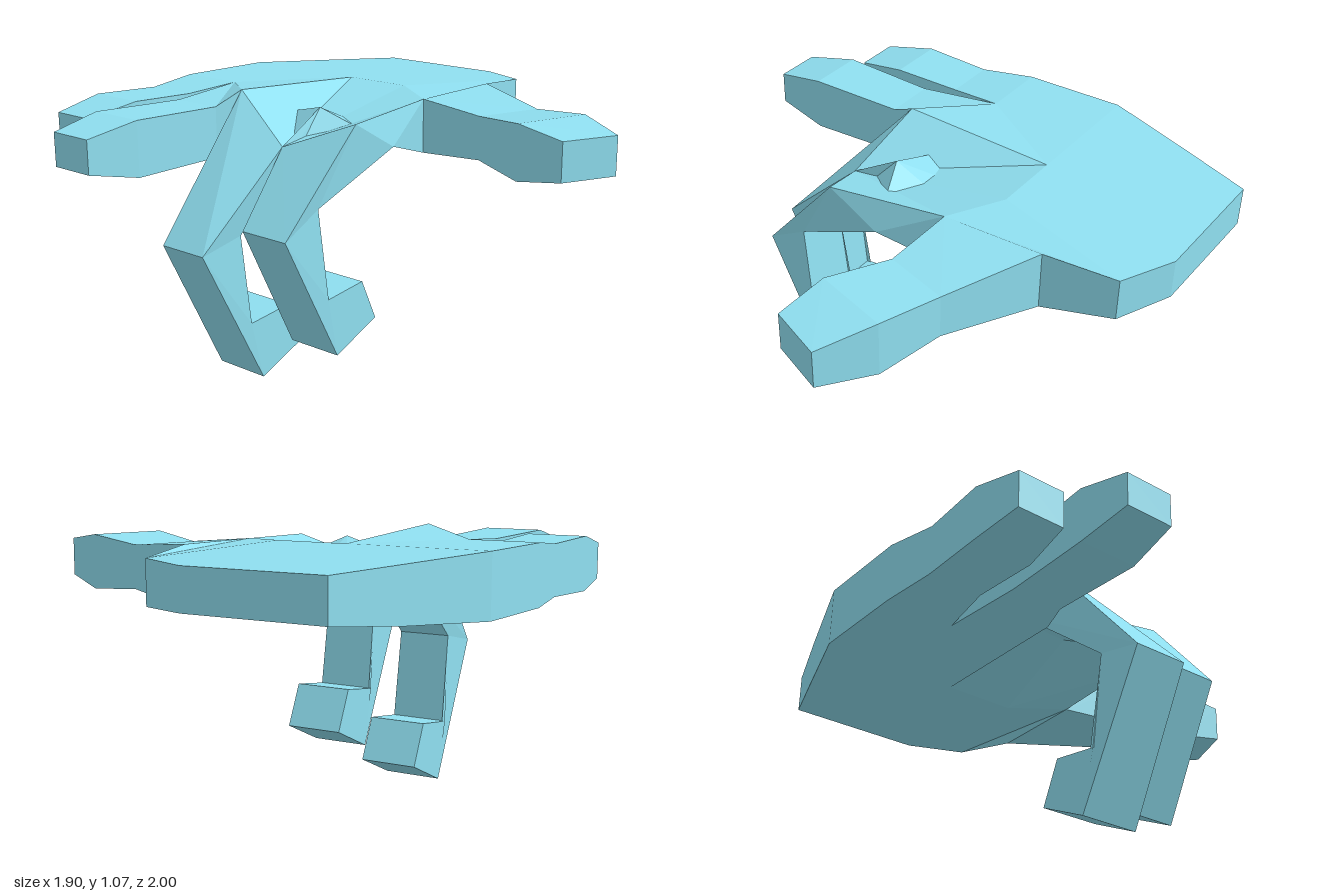
import * as THREE from 'three';

const material = new THREE.MeshStandardMaterial({
  color: 0x8fdff0, flatShading: true, side: THREE.DoubleSide,
});

// Mesh from a list of triangles, each three [x, y, z] corners
function facets(name, tris) {
  const g = new THREE.BufferGeometry();
  g.setAttribute('position', new THREE.Float32BufferAttribute(tris.flat(2), 3));
  g.computeVertexNormals();
  const mesh = new THREE.Mesh(g, material);
  mesh.name = name;
  return mesh;
}

const quad = (a, b, c, d) => [[a, b, c], [a, c, d]];

// Four-cornered rings joined into a limb, closed at its last ring
function limb(name, rings) {
  const tris = [];
  for (let i = 0; i + 1 < rings.length; i++) {
    const a = rings[i], b = rings[i + 1];
    for (let j = 0; j < 4; j++) {
      const k = (j + 1) % 4;
      tris.push(...quad(a[j], b[j], b[k], a[k]));
    }
  }
  const [p, q, r, s] = rings[rings.length - 1];
  tris.push(...quad(p, s, r, q));
  return facets(name, tris);
}

// Upright ring between two ground points [x, z]
const upright = ([x0, z0], [x1, z1], bottom, top) =>
  [[x0, top, z0], [x1, top, z1], [x1, bottom, z1], [x0, bottom, z0]];

// Ring of a curled finger: outer and inner edges given as [y, z]
const curled = (x0, x1, [yo, zo], [yi, zi]) =>
  [[x0, yo, zo], [x1, yo, zo], [x1, yi, zi], [x0, yi, zi]];

export function createModel() {
  const hand = new THREE.Group();
  hand.name = 'hand';

  // Palm outline: x, z, bottom, top
  const outline = [
    [-0.72, -1, 0.845, 1.0], [-0.16, -1, 0.845, 1.0], [0.06, -0.9, 0.84, 1.005],
    [0.11, -0.62, 0.8, 1.03], [0.11, -0.21, 0.81, 1.025],
    [-0.1, -0.34, 0.8, 1.035], [-0.39, -0.34, 0.8, 1.035],
    [-0.39, 0.29, 0.8, 1.07], [-0.67, 0.07, 0.8, 1.035], [-0.95, 0.07, 0.8, 1.035],
    [-0.95, -0.34, 0.8, 1.035], [-0.82, -0.72, 0.82, 1.015],
  ];
  const top = outline.map(([x, z, , t]) => [x, t, z]);
  const low = outline.map(([x, z, b]) => [x, b, z]);
  const flat = outline.map(([x, z]) => new THREE.Vector2(x, z));
  const palm = [];
  for (const [i, j, k] of THREE.ShapeUtils.triangulateShape(flat, [])) {
    const area = (flat[j].x - flat[i].x) * (flat[k].y - flat[i].y)
      - (flat[j].y - flat[i].y) * (flat[k].x - flat[i].x);
    const [b, c] = area > 0 ? [k, j] : [j, k];
    palm.push([top[i], top[b], top[c]], [low[i], low[c], low[b]]);
  }
  for (const i of [0, 1, 2, 9, 10, 11]) {
    const j = (i + 1) % 12;
    palm.push(...quad(top[i], top[j], low[j], low[i]));
  }
  hand.add(facets('palm', palm));

  // Knuckles of the two curled fingers, with a valley between them
  const knuckleA = top[7], knuckleB = [0.18, 1.01, 0.26], valley = [-0.1, 0.9, 0.36];
  const innerA = [-0.39, 0.95, 0.085], innerB = [0.18, 0.89, 0.05], innerMid = [-0.1, 1.02, 0.155];
  hand.add(facets('knuckles', [
    ...quad(top[6], knuckleA, valley, top[5]),
    [top[6], valley, top[5]],
    ...quad(top[4], top[5], valley, knuckleB),
    ...quad(low[6], low[5], innerMid, innerA),
    ...quad(low[5], low[4], innerB, innerMid),
    ...quad(top[4], knuckleB, innerB, low[4]),
    ...quad(low[7], low[6], innerA, knuckleA),
  ].filter((_, i) => i !== 1)));

  // Curled fingers
  hand.add(limb('curledMiddleFinger', [
    [knuckleA, valley, innerMid, innerA],
    curled(-0.355, -0.135, [0.55, 0.74], [0.59, 0.55]),
    curled(-0.365, -0.125, [0, 0.46], [0.235, 0.515]),
    curled(-0.365, -0.125, [0.095, 0.245], [0.26, 0.32]),
  ]));
  hand.add(limb('curledIndexFinger', [
    [valley, knuckleB, innerB, innerMid],
    curled(-0.07, 0.15, [0.63, 0.6], [0.72, 0.43]),
    curled(-0.08, 0.16, [0.13, 0.345], [0.365, 0.39]),
    curled(-0.08, 0.16, [0.225, 0.13], [0.39, 0.205]),
  ]));

  // Straight fingers
  hand.add(limb('littleFinger', [
    [top[9], top[8], low[8], low[9]],
    upright([-0.92, 0.29], [-0.7, 0.29], 0.815, 1.015),
    upright([-0.93, 0.57], [-0.69, 0.57], 0.81, 1.025),
    upright([-0.905, 0.78], [-0.715, 0.78], 0.84, 0.985),
  ]));
  hand.add(limb('ringFinger', [
    [top[8], top[7], low[7], low[8]],
    upright([-0.635, 0.4], [-0.42, 0.4], 0.815, 1.015),
    upright([-0.65, 0.79], [-0.41, 0.79], 0.81, 1.025),
    upright([-0.625, 1], [-0.43, 1], 0.855, 0.985),
  ]));

  // Thumb
  hand.add(limb('thumb', [
    [top[4], top[3], low[3], low[4]],
    upright([0.4, -0.19], [0.48, -0.45], 0.83, 1.0),
    upright([0.65, -0.085], [0.74, -0.385], 0.81, 1.025),
    upright([0.86, -0.06], [0.95, -0.275], 0.845, 0.995),
  ]));
  return hand;
}
